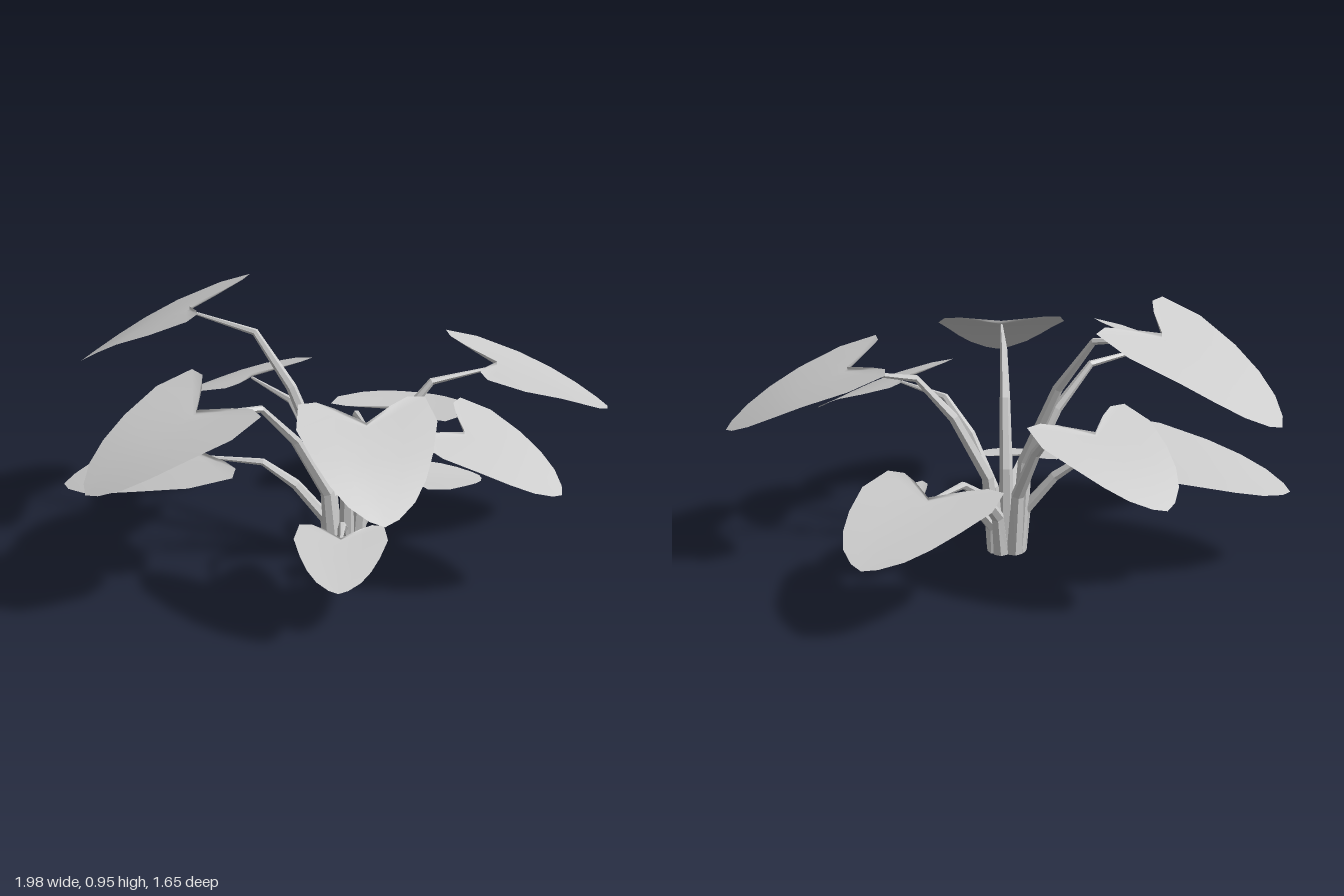
import * as THREE from 'three';
import { mergeVertices } from 'three/addons/utils/BufferGeometryUtils.js';

// One row per leaf: joint x, y, z, forward reach to the tip, drop at the tip
const LEAVES = [
  [0, 0.72, 0.46, 0.35, 0.20],
  [0.56, 0.70, -0.045, 0.43, 0.20],
  [-0.54, 0.70, 0.22, 0.42, 0.20],
  [-0.51, 0.88, -0.30, 0.44, 0.25],
  [0.38, 0.57, 0.25, 0.36, 0.16],
  [-0.28, 0.57, -0.40, 0.37, 0.16],
  [0.285, 0.37, -0.47, 0.42, 0.10],
  [-0.50, 0.40, -0.10, 0.50, 0.12],
  [-0.065, 0.24, 0.33, 0.27, 0.065],
  [0.31, 0.24, -0.14, 0.27, 0.065],
];

// Half outline of the heart: forward, sideways, matching place on the midrib
const OUTLINE = [
  [0, 0, 0], [-0.19, 0.23, 0], [-0.28, 0.38, 0], [-0.27, 0.53, 0.03],
  [0.03, 0.585, 0.15], [0.38, 0.49, 0.42], [0.63, 0.39, 0.62],
  [0.82, 0.27, 0.8], [0.95, 0.12, 0.93], [1, 0, 1],
];

// Joins rows of equally many points into a surface; the corner order is a, b, c
function loft(rows, flip) {
  const n = rows[0].length, index = [];
  for (let i = 0; i < rows.length - 1; i++) {
    for (let j = 0; j < n - 1; j++) {
      const a = i * n + j, b = a + 1, c = a + n, d = c + 1;
      index.push(...(flip ? [a, c, b, b, c, d] : [a, b, c, b, d, c]));
    }
  }
  const geo = new THREE.BufferGeometry();
  geo.setAttribute('position', new THREE.Float32BufferAttribute(rows.flat(2), 3));
  geo.setIndex(index);
  const merged = mergeVertices(geo, 1e-5);
  merged.computeVertexNormals();
  return merged;
}

// Heart-shaped blade, drooping forward, with a shallow fold along the midrib
function bladeGeometry(y, radius, reach, drop) {
  const size = Math.hypot(reach, drop);
  const rows = OUTLINE.map(([s, u, m]) => [-1, -0.5, 0, 0.5, 1].map((v) => {
    const w = Math.abs(v);
    const f = m + (s - m) * w;
    const fold = 0.03 * size * w * (1 - m);
    return [u * v * size, y - drop * (0.65 * f + 0.35 * f * Math.abs(f)) + fold, radius + f * reach];
  }));
  return loft(rows, true);
}

// Tapered six-sided stalk that rises, leans out and bends level at the blade
function stalkGeometry(y, radius) {
  const path = [
    [0.045, 0, 0], [0.045, 0, 0.03], [0.03 + 0.07 * radius, 0.4 * y, 0.024],
    [0.34 * radius, 0.73 * y, 0.019], [0.57 * radius, 0.945 * y, 0.013],
    [radius, y - 0.004, 0.005],
  ];
  const rows = path.map(([z, h, r], i) => {
    const p = path[Math.max(i - 1, 0)], q = path[Math.min(i + 1, path.length - 1)];
    const len = Math.hypot(q[0] - p[0], q[1] - p[1]) || 1;
    const tz = i < 2 ? 0 : (q[0] - p[0]) / len;
    const ty = i < 2 ? 1 : (q[1] - p[1]) / len;
    return Array.from({ length: 7 }, (_, k) => {
      const a = (k % 6) * Math.PI / 3;
      return [r * Math.cos(a), h + r * Math.sin(a) * tz, z - r * Math.sin(a) * ty];
    });
  });
  return loft(rows, false);
}

export function createModel() {
  const plant = new THREE.Group();
  plant.name = 'plant';
  const bladeMaterial = new THREE.MeshStandardMaterial({ color: 0xcccccc, side: THREE.DoubleSide });
  const stalkMaterial = new THREE.MeshStandardMaterial({ color: 0xcccccc, flatShading: true });

  for (const [x, y, z, reach, drop] of LEAVES) {
    const radius = Math.hypot(x, z);
    const leaf = new THREE.Group();
    leaf.name = 'leaf';
    const blade = new THREE.Mesh(bladeGeometry(y, radius, reach, drop), bladeMaterial);
    blade.name = 'leafBlade';
    const stalk = new THREE.Mesh(stalkGeometry(y, radius), stalkMaterial);
    stalk.name = 'leafStalk';
    leaf.add(blade, stalk);
    leaf.rotation.y = Math.atan2(x, z);
    plant.add(leaf);
  }
  return plant;
}
